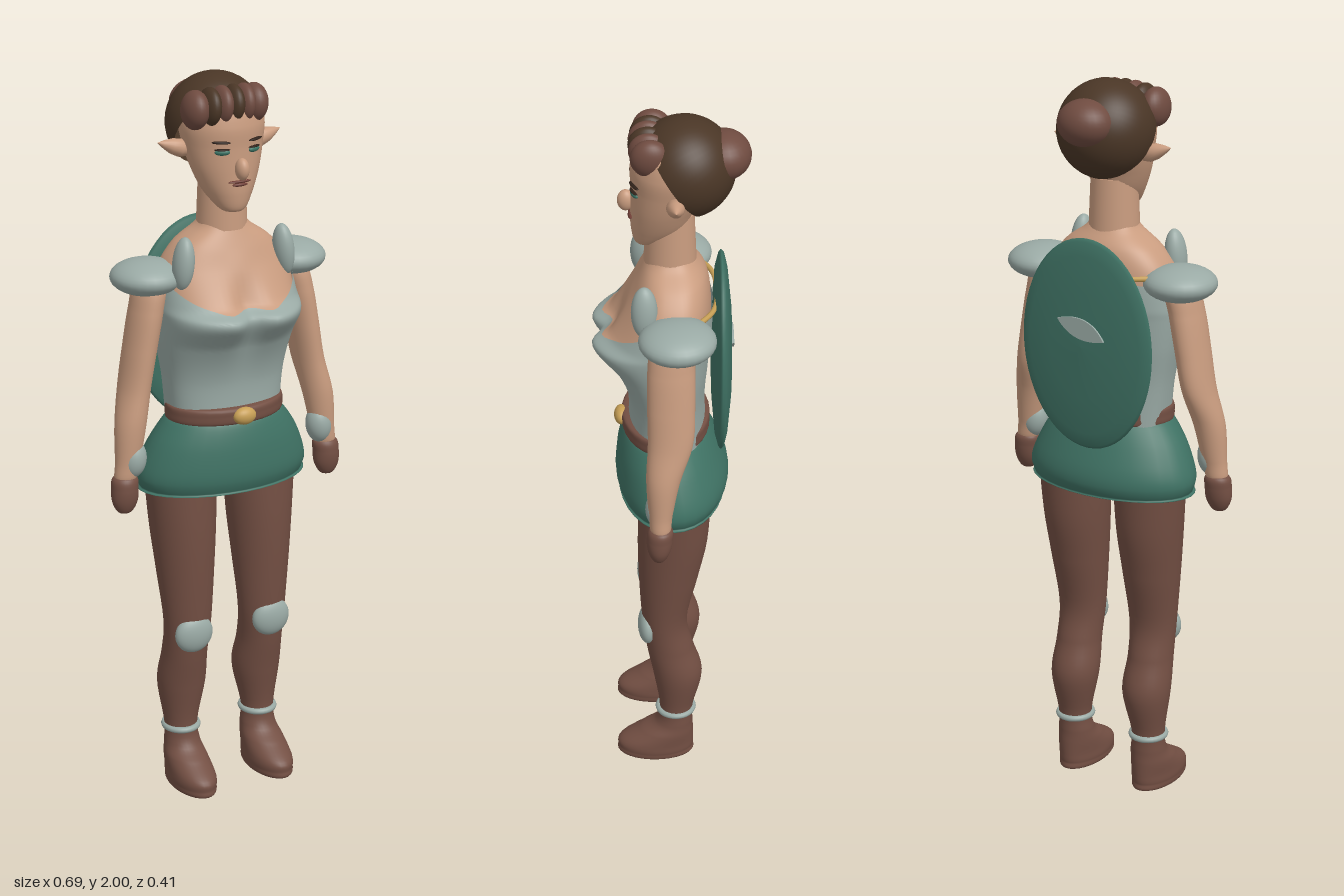
import * as THREE from 'three';
import { ParametricGeometry } from 'three/addons/geometries/ParametricGeometry.js';

const mat = (name, color, side = THREE.FrontSide) => {
  const m = new THREE.MeshStandardMaterial({ color, side });
  m.name = name;
  return m;
};

// Catmull-Rom interpolation through rows of numbers
function sample(rows, t) {
  const n = rows.length - 1, i = Math.min(Math.floor(t), n - 1), f = t - i;
  const at = k => rows[Math.max(0, Math.min(n, k))];
  const [a, b, c, d] = [at(i - 1), at(i), at(i + 1), at(i + 2)];
  return b.map((_, k) => b[k] + 0.5 * f * (c[k] - a[k] +
    f * (2 * a[k] - 5 * b[k] + 4 * c[k] - d[k] + f * (3 * (b[k] - c[k]) + d[k] - a[k]))));
}

// Skin over elliptical sections [y, centre x, half width, front z, back z], listed bottom to top
function loft(rows, mirror = 1) {
  return new ParametricGeometry((u, v, out) => {
    const a = Math.PI * (2 * u - 1);
    const [y, cx, rx, zf, zb] = sample(rows, v * (rows.length - 1));
    out.set(cx * mirror + rx * Math.sin(a), y, (zf + zb) / 2 + (zf - zb) / 2 * Math.cos(a));
  }, 32, (rows.length - 1) * 5);
}

// Torso rows: [y, half width, front z, back depth, cleavage depth]
const TORSO = [
  [1.08, 0.158, 0.112, 0.095, 0], [1.2, 0.17, 0.112, 0.092, 0], [1.3, 0.187, 0.15, 0.1, 0.01],
  [1.38, 0.196, 0.215, 0.105, 0.036], [1.42, 0.196, 0.168, 0.11, 0.025], [1.5, 0.182, 0.115, 0.11, 0],
  [1.56, 0.14, 0.088, 0.1, 0], [1.6, 0.085, 0.07, 0.075, 0], [1.615, 0.07, 0.063, 0.063, 0],
];
function torso(from, to, inset) {
  return new ParametricGeometry((u, v, out) => {
    const a = Math.PI * (2 * u - 1), c = Math.cos(a);
    const end = to(a);
    const [y, rx, zf, zb, dip] = sample(TORSO, from + (end - from) * v);
    const x = (rx - inset) * Math.sin(a);
    const depth = Math.pow(Math.abs(c), 0.75);
    const z = c > 0
      ? (zf - inset) * depth - dip * Math.exp(-((x / 0.04) ** 2))
      : -(zb - inset) * depth;
    out.set(x, y, z);
  }, 64, 36);
}

export function createModel() {
  const root = new THREE.Group();
  root.name = 'elfWarrior';
  const skin = mat('skin', 0xc99c7f);
  const steel = mat('steel', 0x9aaaa5, THREE.DoubleSide);
  const green = mat('green cloth', 0x3f7264);
  const leather = mat('leather', 0x734f43);
  const hair = mat('dark hair', 0x4a3626, THREE.DoubleSide);
  const curl = mat('light hair', 0x6f4b40);
  const gold = mat('gold', 0xc79f55);
  const brow = mat('brow', 0x30221a);
  const iris = mat('iris', 0x3c7566);
  const lip = mat('lip', 0x6e3d35);

  const add = (name, geo, material, pos = [0, 0, 0], rot = [0, 0, 0]) => {
    const m = new THREE.Mesh(geo, material);
    m.name = name;
    m.position.set(...pos);
    m.rotation.set(...rot);
    root.add(m);
    return m;
  };
  const ball = (name, material, pos, r, rot) =>
    add(name, new THREE.SphereGeometry(1, 28, 18), material, pos, rot).scale.set(...r);

  // Torso, bodice with a sweetheart neckline, belt and skirt
  add('chest', torso(2.4, () => 8, 0.005), skin);
  const neckline = a => {
    const x = Math.abs(Math.sin(a));
    if (Math.cos(a) < 0) return 4.75;
    return 3.85 + 0.9 * x ** 3 - 0.2 * Math.exp(-(((x - 0.3) / 0.16) ** 2));
  };
  add('bodice', torso(0, neckline, 0), steel);
  add('belt', loft([[1.083, 0, 0.15, 0.11, -0.09], [1.087, 0, 0.166, 0.127, -0.104],
    [1.107, 0, 0.168, 0.13, -0.106], [1.127, 0, 0.166, 0.127, -0.104], [1.131, 0, 0.15, 0.1, -0.085]]), leather);
  ball('buckle', gold, [0, 1.108, 0.13], [0.033, 0.024, 0.02]);
  add('skirt', loft([[0.892, 0, 0, 0, 0], [0.893, 0, 0.225, 0.128, -0.135], [0.9, 0, 0.238, 0.136, -0.148],
    [0.93, 0, 0.247, 0.146, -0.158], [0.97, 0, 0.238, 0.147, -0.153], [1.03, 0, 0.21, 0.14, -0.13],
    [1.08, 0, 0.175, 0.126, -0.106], [1.098, 0, 0.155, 0.11, -0.09]]), green);
  add('neck', new THREE.CylinderGeometry(0.062, 0.068, 0.14, 32), skin, [0, 1.67, 0]);

  // Limbs and their armour, mirrored
  for (const s of [1, -1]) {
    const side = s > 0 ? 'left' : 'right';
    add(side + 'Leg', loft([[0, 0.122, 0, 0.04, 0.04], [0.002, 0.122, 0.052, 0.142, -0.056],
      [0.025, 0.122, 0.06, 0.152, -0.064], [0.05, 0.122, 0.06, 0.145, -0.065], [0.085, 0.122, 0.057, 0.09, -0.064],
      [0.12, 0.121, 0.05, 0.042, -0.062], [0.18, 0.122, 0.047, 0.032, -0.063], [0.3, 0.118, 0.067, 0.05, -0.088],
      [0.4, 0.118, 0.063, 0.068, -0.062], [0.5, 0.116, 0.067, 0.08, -0.045], [0.65, 0.117, 0.08, 0.088, -0.075],
      [0.78, 0.118, 0.091, 0.09, -0.1], [0.92, 0.12, 0.1, 0.085, -0.108]], s), leather);
    ball(side + 'KneePad', steel, [s * 0.12, 0.473, 0.064], [0.056, 0.055, 0.028]);
    const ring = add(side + 'AnkleRing', new THREE.TorusGeometry(0.046, 0.009, 10, 32), steel,
      [s * 0.122, 0.165, -0.014], [Math.PI / 2, 0, 0]);
    ring.scale.y = 1.05;

    add(side + 'Arm', loft([[0.945, 0.305, 0, 0.03, 0.03], [0.95, 0.305, 0.028, 0.055, 0.005],
      [1.0, 0.297, 0.034, 0.061, -0.002], [1.1, 0.284, 0.042, 0.067, -0.022], [1.2, 0.262, 0.041, 0.062, -0.055],
      [1.3, 0.244, 0.042, 0.063, -0.06], [1.4, 0.225, 0.043, 0.062, -0.06], [1.47, 0.208, 0.04, 0.05, -0.055],
      [1.49, 0.205, 0, 0, 0]], s), skin);
    add(side + 'Hand', loft([[0.856, 0.31, 0, 0.035, 0.035], [0.862, 0.31, 0.02, 0.052, 0.018],
      [0.89, 0.309, 0.035, 0.064, 0.004], [0.925, 0.308, 0.037, 0.067, -0.002], [0.955, 0.306, 0.033, 0.06, 0],
      [0.967, 0.305, 0, 0.03, 0.03]], s), leather);
    ball(side + 'Bracer', steel, [s * 0.283, 1.005, 0.034], [0.036, 0.052, 0.036], [0, 0, s * 0.12]);
    ball(side + 'Pauldron', steel, [s * 0.213, 1.485, -0.015], [0.097, 0.047, 0.1]);
    ball(side + 'ShoulderGuard', steel, [s * 0.148, 1.53, 0.068], [0.028, 0.071, 0.034], [0, 0, s * 0.1]);

    // Pointed ear, eye and brow
    const earProfile = [[0, -0.01], [0.018, 0], [0.024, 0.02], [0.02, 0.045], [0.01, 0.07], [0, 0.088]]
      .map(p => new THREE.Vector2(...p));
    add(side + 'Ear', new THREE.LatheGeometry(earProfile, 20), skin, [s * 0.096, 1.81, -0.012], [0, 0, -s * 1.27]);
    ball(side + 'Eye', iris, [s * 0.046, 1.817, 0.09], [0.02, 0.008, 0.008], [0, s * 0.4, 0]);
    ball(side + 'Lid', brow, [s * 0.046, 1.824, 0.09], [0.021, 0.003, 0.009], [0, s * 0.4, 0]);
    ball(side + 'Brow', brow, [s * 0.05, 1.843, 0.091], [0.025, 0.004, 0.007], [0, s * 0.4, s * 0.04]);
  }

  // Head and face
  add('head', loft([[1.654, 0, 0, 0.065, 0.065], [1.658, 0, 0.032, 0.09, 0.03], [1.7, 0, 0.064, 0.1, -0.035],
    [1.76, 0, 0.091, 0.101, -0.065], [1.82, 0, 0.107, 0.1, -0.09], [1.88, 0, 0.115, 0.1, -0.105],
    [1.94, 0, 0.1, 0.08, -0.1], [1.98, 0, 0.05, 0.03, -0.06], [1.985, 0, 0, -0.02, -0.02]]), skin);
  ball('nose', skin, [0, 1.773, 0.112], [0.018, 0.029, 0.022]);
  ball('upperLip', lip, [0, 1.738, 0.099], [0.033, 0.004, 0.007]);
  ball('lowerLip', lip, [0, 1.73, 0.1], [0.022, 0.005, 0.007]);

  // Swept-back hair cap, bun and rolled fringe
  add('hairCap', new THREE.SphereGeometry(0.131, 40, 24, 0, Math.PI * 2, 0, 1.8), hair, [0, 1.869, -0.036], [-0.98, 0, 0]);
  ball('bun', curl, [0, 1.902, -0.133], [0.077, 0.062, 0.071]);
  [-0.1, -0.062, -0.03, 0.002, 0.034, 0.066].forEach((x, i) =>
    ball('fringeRoll', i % 2 && i < 5 ? hair : curl, [x, 1.932 - 0.8 * x * x, 0.056 - 1.2 * x * x],
      [i === 0 || i === 5 ? 0.034 : 0.025, 0.051, 0.05], [0, 0, -0.1]));

  // Back strap and shield with a leaf-shaped inlay
  const strap = new THREE.CatmullRomCurve3([[-0.172, -0.06], [-0.1, -0.108], [0, -0.122], [0.1, -0.108], [0.172, -0.06]]
    .map(([x, z]) => new THREE.Vector3(x, 1.5, z)));
  add('backStrap', new THREE.TubeGeometry(strap, 32, 0.007, 8), gold);
  const dome = [[0, -0.026], [0.1, -0.023], [0.17, -0.015], [0.195, -0.006], [0.201, 0], [0.195, 0.008],
    [0.17, 0.016], [0.1, 0.026], [0, 0.03]].map(p => new THREE.Vector2(...p));
  const shield = add('shield', new THREE.LatheGeometry(dome, 56), green, [0, 1.312, -0.133], [-Math.PI / 2, 0, 0]);
  shield.scale.z = 1.43;
  const leaf = new THREE.Shape();
  leaf.moveTo(-0.075, 0);
  leaf.quadraticCurveTo(-0.01, 0.06, 0.075, 0);
  leaf.quadraticCurveTo(0.01, -0.05, -0.075, 0);
  add('shieldInlay', new THREE.ExtrudeGeometry(leaf, { depth: 0.008, bevelEnabled: false, curveSegments: 16 }),
    steel, [0, 1.36, -0.1655], [0, 0, 0.3]);

  return root;
}
